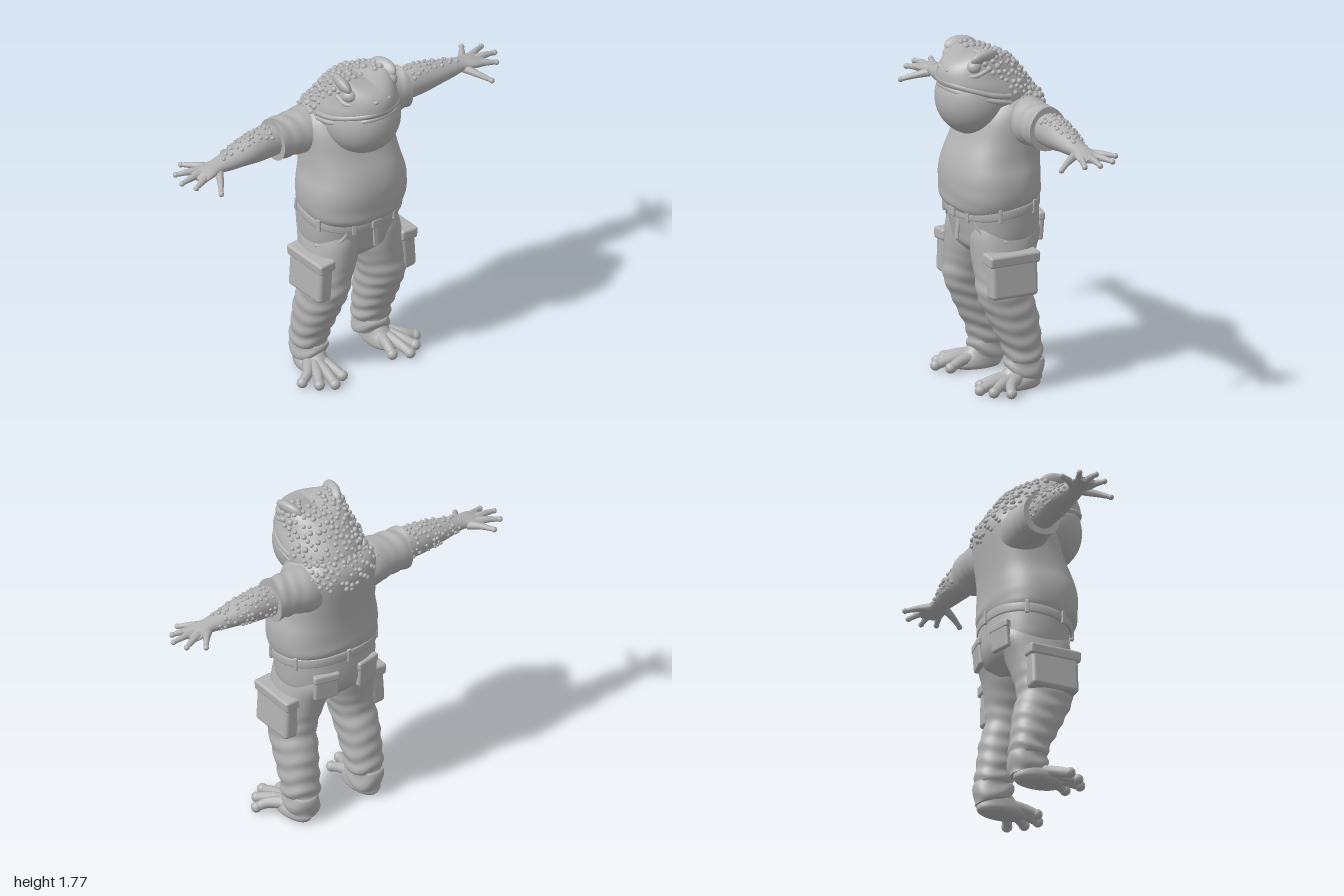
import * as THREE from 'three';
import { mergeGeometries } from 'three/addons/utils/BufferGeometryUtils.js';
import { RoundedBoxGeometry } from 'three/addons/geometries/RoundedBoxGeometry.js';

const clay = new THREE.MeshStandardMaterial({ color: 0xb2b2b2 });
clay.name = 'clay grey';
const V = (x, y, z) => new THREE.Vector3(x, y, z);
const spow = (c, e) => Math.sign(c) * Math.pow(Math.abs(c), e);
const { smoothstep } = THREE.MathUtils;

// smooth value between cross-sections
function spline(rows, k, i, f) {
  const g = (n) => rows[Math.min(Math.max(n, 0), rows.length - 1)][k];
  const [a, b, c, d] = [g(i - 1), g(i), g(i + 1), g(i + 2)];
  return b + 0.5 * f * (c - a + f * (2 * a - 5 * b + 4 * c - d + f * (3 * (b - c) + d - a)));
}

// skin over rings: rows are [along, centreA, centreB, radiusA, radiusB], along y (x,z) or x (y,z)
function loft(rows, { axis = 'y', p = 2, seg = 48, sub = 6, warp } = {}) {
  const pos = [], idx = [], rings = [];
  for (let i = 0; i < rows.length - 1; i++)
    for (let s = 0; s < sub; s++) rings.push([0, 1, 2, 3, 4].map((k) => spline(rows, k, i, s / sub)));
  rings.push(rows[rows.length - 1]);
  const first = rings[0], last = rings[rings.length - 1];
  const flat = (r) => [r[0], r[1], r[2], 0, 0];
  const all = [flat(first), first, ...rings, last, flat(last)];
  for (const [t, a, b, ra, rb] of all)
    for (let j = 0; j < seg; j++) {
      const w = (j / seg) * Math.PI * 2, c = spow(Math.cos(w), 2 / p), s = spow(Math.sin(w), 2 / p);
      const v = axis === 'y' ? V(a + ra * c, t, b + rb * s) : V(t, a + ra * s, b + rb * c);
      if (warp) warp(v, w);
      pos.push(v.x, v.y, v.z);
    }
  for (let i = 0; i < all.length - 1; i++) {
    if (i === 1 || i === all.length - 3) continue;
    for (let j = 0; j < seg; j++) {
      const a = i * seg + j, c = i * seg + ((j + 1) % seg);
      idx.push(a, a + seg, c, c, a + seg, c + seg);
    }
  }
  const g = new THREE.BufferGeometry();
  g.setAttribute('position', new THREE.Float32BufferAttribute(pos, 3));
  g.setIndex(idx);
  g.computeVertexNormals();
  return g;
}

const ball = (x, y, z, rx, ry = rx, rz = rx, n = 20) =>
  new THREE.SphereGeometry(1, n, Math.ceil(n * 0.7)).scale(rx, ry, rz).translate(x, y, z);

// tapered finger or toe with a rounded tip
function digit(points, r0, r1, tip) {
  const curve = new THREE.CatmullRomCurve3(points), n = 14, seg = 12;
  const g = new THREE.TubeGeometry(curve, n, 1, seg);
  const P = g.attributes.position, v = V(0, 0, 0);
  for (let i = 0; i < P.count; i++) {
    const t = Math.floor(i / (seg + 1)) / n, c = curve.getPointAt(t);
    v.fromBufferAttribute(P, i).sub(c).multiplyScalar(r0 + (r1 - r0) * t).add(c);
    P.setXYZ(i, v.x, v.y, v.z);
  }
  const e = points[points.length - 1];
  return mergeGeometries([g, ball(e.x, e.y, e.z, tip, tip, tip, 14)]);
}

// warts scattered over a surface, kept apart from each other
function warts(geo, keep, count, size, seed) {
  const rand = () => (seed = (seed * 16807) % 2147483647) / 2147483647;
  const P = geo.attributes.position, N = geo.attributes.normal, spots = [], out = [];
  for (let tries = 0; tries < 6000 && spots.length < count; tries++) {
    const i = Math.floor(rand() * P.count), v = V(0, 0, 0).fromBufferAttribute(P, i);
    if (!keep(v) || spots.some((s) => s.distanceTo(v) < size * 1.7)) continue;
    spots.push(v);
    const n = V(0, 0, 0).fromBufferAttribute(N, i), r = size * (0.65 + rand() * 0.4);
    const q = new THREE.Quaternion().setFromUnitVectors(V(0, 1, 0), n);
    out.push(new THREE.SphereGeometry(r, 8, 6).applyQuaternion(q).translate(v.x, v.y, v.z));
  }
  return mergeGeometries(out);
}

function mirrored(geo) {
  const g = geo.clone().scale(-1, 1, 1);
  const id = g.index ? Array.from(g.index.array) : Array.from({ length: g.attributes.position.count }, (_, i) => i);
  for (let i = 0; i < id.length; i += 3) [id[i], id[i + 1]] = [id[i + 1], id[i]];
  g.setIndex(id);
  return g;
}

export function createModel() {
  const root = new THREE.Group();
  root.name = 'toadFigure';
  const add = (name, geo) => {
    const m = new THREE.Mesh(geo, clay);
    m.name = name;
    root.add(m);
  };
  const pair = (name, geo) => {
    add(name + 'Left', geo);
    add(name + 'Right', mirrored(geo));
  };
  const box = (w, h, d, r, x, y, z, rx = 0, ry = 0, rz = 0) =>
    new RoundedBoxGeometry(w, h, d, 3, r).rotateX(rx).rotateZ(rz).rotateY(ry).translate(x, y, z);

  // shirt
  const shirt = loft([
    [0.945, 0, -0.018, 0.262, 0.208], [0.985, 0, -0.012, 0.277, 0.228], [1.05, 0, -0.009, 0.284, 0.231],
    [1.12, 0, -0.01, 0.278, 0.23], [1.2, 0, -0.022, 0.258, 0.222], [1.3, 0, -0.05, 0.25, 0.205],
    [1.4, 0, -0.073, 0.25, 0.193], [1.46, 0, -0.088, 0.24, 0.177], [1.51, 0, -0.09, 0.205, 0.155],
    [1.55, 0, -0.085, 0.14, 0.115],
  ], { p: 2.4, seg: 72, warp: (v, w) => {
    const low = 1 - smoothstep(v.y, 0.94, 1.1);
    v.y -= 0.13 * v.z * low;
    v.z += 0.004 * Math.sin(v.y * 55 + v.x * 9) * low * Math.sign(v.z);
  } });
  add('shirt', shirt);
  pair('sleeve', loft([
    [0.1, 1.37, -0.115, 0.13, 0.11], [0.2, 1.39, -0.12, 0.128, 0.118], [0.29, 1.398, -0.122, 0.112, 0.108],
    [0.37, 1.4, -0.125, 0.112, 0.102], [0.405, 1.4, -0.125, 0.115, 0.102],
  ], { axis: 'x', warp: (v) => { v.y += 0.004 * Math.sin(v.x * 90 + v.z * 30) * smoothstep(v.x, 0.2, 0.3); } }));

  // head, with brows lifted into a valley between the eyes
  const head = loft([
    [1.4, 0, -0.08, 0.17, 0.175], [1.48, 0, -0.04, 0.2, 0.205], [1.54, 0, 0.0, 0.207, 0.22],
    [1.585, 0, 0.035, 0.2, 0.232], [1.63, 0, 0.055, 0.184, 0.216], [1.67, 0, 0.065, 0.166, 0.193],
    [1.7, 0, 0.07, 0.146, 0.16], [1.72, 0, 0.07, 0.115, 0.115], [1.727, 0, 0.07, 0.06, 0.06],
  ], { seg: 72, warp: (v) => {
    v.y += 0.28 * Math.abs(v.x) * smoothstep(v.y, 1.62, 1.72) * Math.exp(-(((v.z - 0.08) / 0.11) ** 2));
  } });
  add('head', head);
  add('throatSac', ball(0, 1.5, 0.08, 0.197, 0.197, 0.195, 48));
  pair('brow', ball(0, 0, 0, 0.03, 0.05, 0.085).rotateZ(-0.5).rotateY(0.2).translate(0.128, 1.728, 0.085));
  pair('eye', ball(0.128, 1.69, 0.142, 0.038, 0.036, 0.042));
  pair('lowerEyelid', digit([V(0.165, 1.675, 0.09), V(0.155, 1.65, 0.15), V(0.1, 1.655, 0.205)], 0.012, 0.01, 0.01));
  pair('nostril', ball(0.04, 1.665, 0.248, 0.014, 0.01, 0.012));
  [['upperLip', 0, 0.016, 0], ['lowerLip', -0.032, 0.013, -0.004]].forEach(([name, dy, r, dz]) => {
    const half = [V(0.2, 1.535, -0.02), V(0.193, 1.55, 0.07), V(0.155, 1.577, 0.165), V(0.085, 1.598, 0.237)];
    const pts = [...half.map((v) => V(-v.x, v.y, v.z)), V(0, 1.605, 0.258), ...half.reverse()];
    pts.forEach((v) => { v.y += dy; v.z += dz; });
    add(name, new THREE.TubeGeometry(new THREE.CatmullRomCurve3(pts), 60, r, 10));
  });
  add('headWarts', warts(head, (v) => v.y > 1.47 && v.z < 0.1 - Math.max(0, 1.7 - v.y) * 0.9, 150, 0.016, 11));
  add('backWarts', warts(shirt, (v) => v.y > 1.36 + Math.abs(v.x) * 0.4 && v.z < -0.12 && Math.abs(v.x) < 0.2, 60, 0.015, 7));

  // arms and hands
  const arm = loft([
    [0.34, 1.4, -0.125, 0.08, 0.075], [0.45, 1.405, -0.122, 0.083, 0.074], [0.53, 1.406, -0.12, 0.078, 0.076],
    [0.61, 1.404, -0.117, 0.062, 0.072], [0.7, 1.397, -0.113, 0.047, 0.057], [0.77, 1.393, -0.112, 0.034, 0.047],
    [0.83, 1.388, -0.112, 0.027, 0.06], [0.875, 1.382, -0.114, 0.019, 0.064], [0.905, 1.379, -0.118, 0.012, 0.05],
  ], { axis: 'x', seg: 36, sub: 8 });
  pair('arm', arm);
  pair('armWarts', warts(arm, (v) => v.x > 0.42 && v.x < 0.74 && v.y - 1.4 - (v.z + 0.12) * 0.8 > 0.012, 60, 0.0115, 5));
  const hand = [
    [V(0.8, 1.385, -0.145), V(0.845, 1.387, -0.195), V(0.887, 1.38, -0.25)],
    [V(0.84, 1.385, -0.14), V(0.9, 1.387, -0.163), V(0.965, 1.38, -0.192)],
    [V(0.85, 1.383, -0.115), V(0.92, 1.385, -0.113), V(0.987, 1.376, -0.111)],
    [V(0.84, 1.38, -0.085), V(0.89, 1.378, -0.065), V(0.948, 1.368, -0.045)],
    [V(0.775, 1.38, -0.085), V(0.815, 1.36, -0.02), V(0.855, 1.337, 0.037)],
  ];
  pair('fingers', mergeGeometries(hand.map((f) => digit(f, 0.023, 0.011, 0.0145))));

  // trousers
  const hipRows = [
    [0.69, 0, -0.02, 0.17, 0.12], [0.74, 0, -0.025, 0.235, 0.175], [0.8, 0, -0.033, 0.256, 0.198],
    [0.87, 0, -0.03, 0.263, 0.208], [0.96, 0, -0.022, 0.266, 0.212],
  ];
  add('trouserSeat', loft(hipRows, { p: 2.3, seg: 64 }));
  pair('trouserLeg', loft([
    [0.07, 0.195, -0.1, 0.078, 0.098], [0.11, 0.195, -0.1, 0.084, 0.1], [0.2, 0.194, -0.094, 0.096, 0.098],
    [0.3, 0.192, -0.065, 0.1, 0.117], [0.4, 0.188, -0.035, 0.105, 0.135], [0.5, 0.18, 0.0, 0.11, 0.143],
    [0.6, 0.162, -0.003, 0.122, 0.148], [0.7, 0.14, -0.012, 0.132, 0.165], [0.8, 0.13, -0.028, 0.124, 0.185],
    [0.87, 0.125, -0.03, 0.105, 0.175],
  ], { p: 2.2, sub: 10, warp: (v, w) => {
    // cloth folds, strongest at the ankle
    const k = 0.003 + 0.004 * (1 - smoothstep(v.y, 0.12, 0.3));
    const f = k * Math.sin(v.y * 75 + 1.6 * Math.sin(w * 2 + 1)) * (1 - smoothstep(v.y, 0.5, 0.7));
    v.x += f * Math.cos(w);
    v.z += f * Math.sin(w);
    if (v.y < 0.15) v.y += v.z * 0.25 * (1 - smoothstep(v.y, 0.07, 0.15)) + 0.02;
  } }));
  add('belt', loft([[0.915, 0, -0.022, 0.268, 0.214], [0.922, 0, -0.022, 0.274, 0.219],
    [0.958, 0, -0.022, 0.274, 0.219], [0.965, 0, -0.022, 0.268, 0.214]],
  { p: 2.3, seg: 64, sub: 2, warp: (v) => { v.y -= 0.13 * v.z; } }));
  add('buckle', box(0.06, 0.05, 0.02, 0.008, 0, 0.914, 0.2));
  add('fly', box(0.03, 0.13, 0.012, 0.005, 0.012, 0.83, 0.176, -0.1));
  const loops = [0.35, 1.15, 1.99, 2.79, 3.6, 4.71, 5.82].map((w) => {
    const x = 0.274 * spow(Math.cos(w), 2 / 2.3), z = -0.022 + 0.219 * spow(Math.sin(w), 2 / 2.3);
    return box(0.022, 0.072, 0.016, 0.005, x, 0.94 - 0.13 * z, z, 0, Math.PI / 2 - w);
  });
  add('beltLoops', mergeGeometries(loops));
  pair('hipPocketSeam', new THREE.TubeGeometry(new THREE.CatmullRomCurve3(
    [V(0.14, 0.9, 0.158), V(0.17, 0.845, 0.138), V(0.21, 0.805, 0.098), V(0.25, 0.79, 0.025)]), 20, 0.008, 8));
  pair('backPocket', box(0.13, 0.13, 0.03, 0.012, 0.125, 0.815, -0.217, -0.08, -0.22));
  pair('backPocketFlap', box(0.14, 0.045, 0.036, 0.012, 0.125, 0.875, -0.221, 0, -0.22));
  pair('cargoPocket', box(0.085, 0.215, 0.26, 0.022, 0.263, 0.615, 0.003, 0, 0, 0.06));
  pair('cargoFlap', box(0.1, 0.06, 0.282, 0.014, 0.259, 0.712, 0.003, 0, 0, -0.08));

  // feet
  pair('foot', loft([
    [0.008, 0.205, -0.055, 0.06, 0.115], [0.025, 0.208, -0.05, 0.074, 0.132], [0.055, 0.208, -0.055, 0.074, 0.125],
    [0.09, 0.2, -0.075, 0.062, 0.1], [0.15, 0.195, -0.1, 0.055, 0.075],
  ], { seg: 36 }));
  const toes = [[0.357, 0.055], [0.303, 0.125], [0.237, 0.168], [0.158, 0.125]];
  pair('toes', mergeGeometries(toes.map(([x, z]) => digit(
    [V(0.2 + (x - 0.2) * 0.2, 0.068, -0.05), V(0.2 + (x - 0.2) * 0.65, 0.054, z * 0.5), V(x, 0.033, z)], 0.036, 0.023, 0.028))));
  return root;
}
